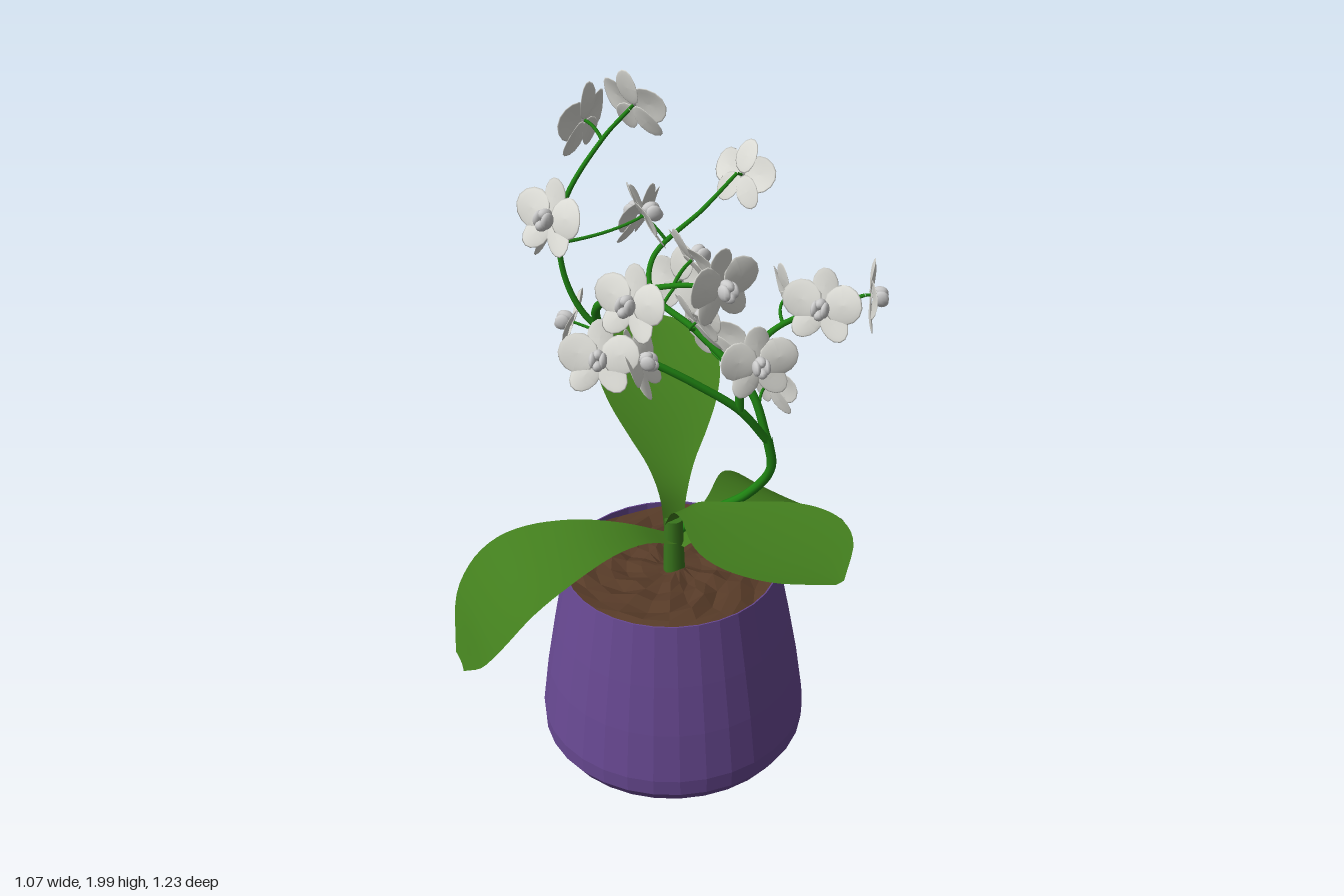
import * as THREE from 'three';
import { mergeGeometries } from 'three/addons/utils/BufferGeometryUtils.js';

const V = (a) => new THREE.Vector3(...a);
const mat = (color, opts = {}) => new THREE.MeshStandardMaterial({ color, ...opts });
const mats = {
  pot: mat(0x674891, { flatShading: true }),
  soil: mat(0x573b28, { flatShading: true, side: THREE.DoubleSide }),
  leaf: mat(0x427d1d, { side: THREE.DoubleSide }),
  trunk: mat(0x38751c),
  stalk: mat(0x1f8212),
  petal: mat(0xdcdcd6),
  lip: mat(0xcccccc),
};

function add(parent, name, geo, material) {
  const mesh = new THREE.Mesh(geo, material);
  mesh.name = name;
  parent.add(mesh);
  return mesh;
}

// Leaf blade: rows across a midline, cupped upward at the edges
const POINTED = [0.06, 0.08, 0.14, 0.24, 0.33, 0.38, 0.37, 0.27, 0.03];
const BLUNT = [0.06, 0.09, 0.16, 0.25, 0.33, 0.38, 0.385, 0.31, 0.09];

function leafGeometry(points, cup, widths, widthScale) {
  const curve = new THREE.CatmullRomCurve3(points.map(V));
  const widthCurve = new THREE.CatmullRomCurve3(widths.map((w, i) => V([i, w, 0])));
  const rows = 28, cols = 10, pos = [], index = [];
  const first = V(points[0]), last = V(points[points.length - 1]);
  const side = last.sub(first).setY(0).normalize().cross(V([0, 1, 0]));
  for (let i = 0; i <= rows; i++) {
    const t = i / rows, c = curve.getPointAt(t);
    const half = (widthCurve.getPoint(t).y / 2) * widthScale;
    const up = side.clone().cross(curve.getTangentAt(t));
    for (let j = 0; j <= cols; j++) {
      const v = (j / cols) * 2 - 1;
      const p = c.clone().addScaledVector(side, v * half).addScaledVector(up, cup * half * v * v);
      pos.push(p.x, p.y, p.z);
      if (i < rows && j < cols) {
        const a = i * (cols + 1) + j, b = a + cols + 1;
        index.push(a, a + 1, b, b, a + 1, b + 1);
      }
    }
  }
  const geo = new THREE.BufferGeometry();
  geo.setAttribute('position', new THREE.Float32BufferAttribute(pos, 3));
  geo.setIndex(index);
  geo.computeVertexNormals();
  return geo;
}

// Tube that narrows towards its end
function taperedTube(curve, r0, r1, segs = 40, sides = 8) {
  const geo = new THREE.TubeGeometry(curve, segs, 1, sides);
  const p = geo.attributes.position, v = new THREE.Vector3();
  for (let i = 0; i < p.count; i++) {
    const t = Math.floor(i / (sides + 1)) / segs, c = curve.getPointAt(t);
    v.fromBufferAttribute(p, i).sub(c).multiplyScalar(r0 + (r1 - r0) * t).add(c);
    p.setXYZ(i, v.x, v.y, v.z);
  }
  return geo;
}

// Thin oval petal growing from the flower centre at a given angle
function petalGeometry(angle, length, width, z) {
  const geo = new THREE.SphereGeometry(1, 14, 8);
  geo.rotateX(Math.PI / 2);
  geo.scale(width / 2, length / 2, 0.0025);
  geo.translate(0, length / 2 + 0.004, z);
  const p = geo.attributes.position;
  for (let i = 0; i < p.count; i++) {
    const x = p.getX(i), y = p.getY(i);
    p.setZ(i, p.getZ(i) + 0.8 * y * y - 3 * x * x);
  }
  geo.computeVertexNormals();
  return geo.rotateZ(angle);
}

function ball(r, x, y, z, sx = 1, sy = 1, sz = 1) {
  return new THREE.SphereGeometry(r, 10, 8).scale(sx, sy, sz).translate(x, y, z);
}

const petalsGeo = mergeGeometries([
  ...[0, 2.45, -2.45].map((a) => petalGeometry(a, 0.095, 0.068, 0)),
  ...[1.33, -1.33].map((a) => petalGeometry(a, 0.1, 0.1, 0.006)),
]);
const lipGeo = mergeGeometries([
  ball(0.014, 0, 0.01, 0.022, 1, 1, 1.5),
  ball(0.017, 0.013, -0.003, 0.026, 0.6, 1.2, 1.2),
  ball(0.017, -0.013, -0.003, 0.026, 0.6, 1.2, 1.2),
  ball(0.015, 0, -0.018, 0.028, 0.9, 0.9, 1.2),
]);

// Stalk and its branches, from the base to the tip
const STALK = [[-0.11, 0.68, 0.01], [-0.04, 0.75, -0.04], [0.06, 0.83, -0.09], [0.125, 0.93, -0.11], [0.12, 1.03, -0.1]];
const BRANCHES = [
  [[0.12, 1.02, -0.1], [0.06, 1.15, -0.1], [-0.1, 1.28, -0.07], [-0.25, 1.35, -0.06], [-0.29, 1.42, -0.11], [-0.25, 1.52, -0.27], [-0.23, 1.59, -0.38]],
  [[0.12, 1.02, -0.1], [0.08, 1.13, -0.03], [0, 1.22, 0.06], [-0.1, 1.31, 0.16], [-0.2, 1.42, 0.24], [-0.25, 1.55, 0.26], [-0.25, 1.7, 0.24], [-0.22, 1.84, 0.13], [-0.21, 1.89, 0.05]],
  [[0.08, 1.13, -0.03], [0.09, 1.25, -0.03], [0.13, 1.35, -0.09], [0.21, 1.41, -0.17], [0.3, 1.45, -0.25]],
  [[-0.17, 1.38, 0.22], [-0.13, 1.47, 0.26], [-0.02, 1.54, 0.25], [0.1, 1.59, 0.23], [0.2, 1.61, 0.2]],
];

// Flowers: position, then facing direction
const FLOWERS = [
  [-0.23, 1.58, -0.4, 0, -0.4, -0.9], [0.31, 1.45, -0.26, 0.8, 0, -0.6],
  [0.26, 1.45, -0.13, 0.35, 0.3, 0.9], [0.05, 1.13, -0.19, 0.2, 0.2, -1],
  [-0.22, 1.36, -0.14, -0.3, -0.2, -0.9], [-0.13, 1.22, -0.17, -0.1, 0.25, -1],
  [-0.35, 1.52, -0.13, -0.85, 0.4, 0.2], [-0.215, 1.895, 0.03, 0, 0.35, -0.95],
  [-0.06, 1.34, -0.02, 0.3, 0.5, -0.8], [0.165, 1.31, 0, 0.8, 0.2, 0.5],
  [-0.15, 1.64, 0.07, 0.5, 0.45, -0.7], [-0.28, 1.87, 0.13, -0.9, 0.2, 0.2],
  [-0.31, 1.64, 0.23, -0.85, 0.2, 0.4], [-0.225, 1.69, 0.31, 0.05, 0.35, 0.95],
  [-0.07, 1.3, 0.18, 0.7, 0.4, -0.4], [0.08, 1.62, 0.15, 0.3, 0.5, -0.8],
  [0.035, 1.55, 0.31, 0.1, 0.3, 0.95], [0.21, 1.61, 0.195, 0.95, 0, 0.15],
  [-0.11, 1.34, 0.28, 0.5, 0.45, 0.7], [0.1, 1.4, -0.2, 0.4, 0.3, -0.85],
  [-0.27, 1.36, 0.21, -0.7, 0.3, 0.5],
];

export function createModel() {
  const model = new THREE.Group();
  model.name = 'pottedOrchid';

  // Pot with bevelled foot and thin rim
  const profile = [[0, 0], [0.33, 0], [0.355, 0.012], [0.38, 0.05], [0.382, 0.1], [0.362, 0.25], [0.336, 0.4], [0.302, 0.58], [0.298, 0.58], [0.298, 0.54]];
  const pot = add(model, 'pot', new THREE.LatheGeometry(profile.map((p) => new THREE.Vector2(...p)), 32), mats.pot);
  pot.position.set(-0.12, 0, 0.02);

  // Lumpy bark surface
  const soilGeo = new THREE.RingGeometry(0.001, 0.298, 22, 7).rotateX(-Math.PI / 2);
  const sp = soilGeo.attributes.position;
  for (let i = 0; i < sp.count; i++) {
    const x = sp.getX(i), z = sp.getZ(i);
    sp.setY(i, 0.012 * Math.sin(x * 47 + z * 19) * Math.cos(z * 53 - x * 13));
  }
  add(model, 'soil', soilGeo, mats.soil).position.set(-0.12, 0.565, 0.02);

  // Short trunk holding the leaves
  const trunk = add(model, 'trunk', new THREE.CylinderGeometry(0.026, 0.032, 0.19, 12), mats.trunk);
  trunk.position.set(-0.11, 0.635, 0.02);

  // Leaves: midline, cupping, outline, width factor
  const leaves = {
    frontLeaf: [[[-0.11, 0.66, 0.02], [-0.155, 0.71, 0.13], [-0.215, 0.72, 0.26], [-0.305, 0.66, 0.42], [-0.365, 0.54, 0.52], [-0.4, 0.41, 0.575]], 0.08, BLUNT, 1],
    leftLeaf: [[[-0.11, 0.72, 0.02], [-0.06, 0.79, 0.03], [0.08, 0.84, 0.06], [0.25, 0.88, 0.09], [0.4, 0.895, 0.11], [0.54, 0.89, 0.13]], 0.06, POINTED, 0.98],
    rightLeaf: [[[-0.11, 0.7, 0.02], [-0.13, 0.81, 0], [-0.2, 0.92, -0.06], [-0.3, 1.02, -0.14], [-0.4, 1.075, -0.22], [-0.515, 1.1, -0.315]], 0.12, POINTED, 0.9],
    backLeaf: [[[-0.1, 0.65, 0.02], [-0.07, 0.69, -0.05], [-0.07, 0.68, -0.2], [-0.1, 0.61, -0.39], [-0.115, 0.49, -0.54], [-0.12, 0.36, -0.61]], 0.05, BLUNT, 0.97],
  };
  for (const [name, [points, cup, widths, scale]] of Object.entries(leaves)) {
    add(model, name, leafGeometry(points, cup, widths, scale), mats.leaf);
  }

  // Flower stalk and branches
  add(model, 'stalk', taperedTube(new THREE.CatmullRomCurve3(STALK.map(V)), 0.013, 0.013), mats.stalk);
  const branchPoints = [];
  for (const b of BRANCHES) {
    const curve = new THREE.CatmullRomCurve3(b.map(V));
    add(model, 'branch', taperedTube(curve, 0.012, 0.005, 60), mats.stalk);
    branchPoints.push(...curve.getSpacedPoints(60));
  }

  // Flowers, each joined to the nearest point of a branch
  for (const f of FLOWERS) {
    const at = V(f.slice(0, 3)), facing = V(f.slice(3)).normalize();
    const flower = new THREE.Group();
    flower.name = 'flower';
    flower.position.copy(at);
    flower.lookAt(at.clone().add(facing));
    add(flower, 'petals', petalsGeo, mats.petal);
    add(flower, 'lip', lipGeo, mats.lip);
    model.add(flower);

    const cost = (p) => p.distanceTo(at) + Math.max(0, p.y - at.y + 0.03);
    const root = branchPoints.reduce((best, p) => (cost(p) < cost(best) ? p : best));
    const bend = at.clone().addScaledVector(facing, -0.4 * root.distanceTo(at));
    const stem = new THREE.QuadraticBezierCurve3(root, bend, at);
    add(model, 'flowerStem', taperedTube(stem, 0.005, 0.004, 10, 6), mats.stalk);
  }
  return model;
}
